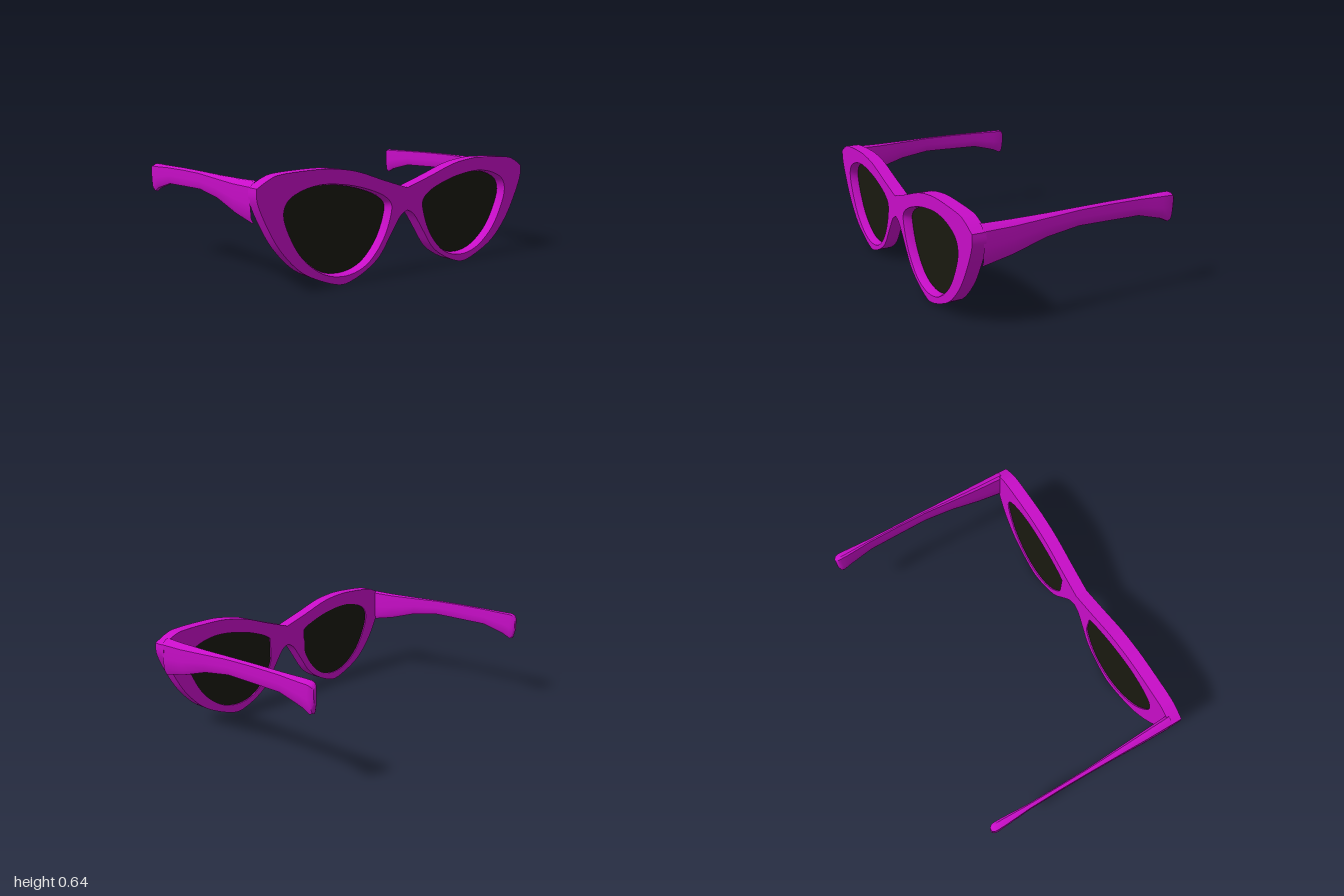
import * as THREE from 'three';
import { mergeGeometries, toCreasedNormals } from 'three/addons/utils/BufferGeometryUtils.js';

const FRONT = 0.64, BACK = 0.56;
const plastic = new THREE.MeshStandardMaterial({ color: 0xc80dc8 });
const glass = new THREE.MeshStandardMaterial({ color: 0x19190f });

const v2 = (pts) => pts.map(([x, y]) => new THREE.Vector2(x, y));

// Reverses the winding of a non-indexed, position-only geometry
function flip(geo) {
  const p = geo.attributes.position;
  for (let i = 0; i < p.count; i += 3) {
    const b = new THREE.Vector3().fromBufferAttribute(p, i + 1);
    const c = new THREE.Vector3().fromBufferAttribute(p, i + 2);
    p.setXYZ(i + 1, c.x, c.y, c.z);
    p.setXYZ(i + 2, b.x, b.y, b.z);
  }
  return geo;
}

// Keeps only positions so that pieces can be merged
function bare(geo) {
  const g = geo.index ? geo.toNonIndexed() : geo;
  g.deleteAttribute('normal');
  g.deleteAttribute('uv');
  return g;
}

// Skins a row of loops; optionally closes the last one with a fan
function loft(loops, closed = true, cap = false) {
  const out = [];
  const n = loops[0].length;
  const tri = (...vs) => vs.forEach((v) => out.push(v.x, v.y, v.z));
  for (let k = 0; k + 1 < loops.length; k++) {
    const A = loops[k], B = loops[k + 1];
    for (let i = 0; i < (closed ? n : n - 1); i++) {
      const j = (i + 1) % n;
      tri(A[i], A[j], B[j]);
      tri(A[i], B[j], B[i]);
    }
  }
  if (cap) {
    const L = loops[loops.length - 1];
    const c = L.reduce((s, v) => s.add(v), new THREE.Vector3()).divideScalar(n);
    for (let i = 0; i < n; i++) tri(c, L[i], L[(i + 1) % n]);
  }
  const g = new THREE.BufferGeometry();
  g.setAttribute('position', new THREE.Float32BufferAttribute(out, 3));
  return g;
}

const atZ = (pts, z) => pts.map((p) => new THREE.Vector3(p.x, p.y, z));

// Half outline of the front: upper brow, then the wing tip round to the bridge
const brow = new THREE.SplineCurve(v2([
  [0, 0.495], [0.18, 0.55], [0.36, 0.608], [0.5, 0.632], [0.62, 0.638],
  [0.845, 0.628], [0.925, 0.607], [1, 0.565]])).getPoints(40);
const rim = new THREE.SplineCurve(v2([
  [1, 0.565], [0.998, 0.495], [0.95, 0.38], [0.87, 0.243], [0.754, 0.12], [0.63, 0.05],
  [0.487, 0.003], [0.39, 0.018], [0.283, 0.067], [0.2, 0.13], [0.123, 0.238],
  [0.053, 0.335], [0, 0.365]])).getPoints(60);
const outline = [...brow, ...rim.slice(1)];

// Lens opening, counter-clockwise
const opening = new THREE.CatmullRomCurve3(v2([
  [0.834, 0.415], [0.81, 0.48], [0.738, 0.522], [0.615, 0.548], [0.47, 0.54], [0.31, 0.505],
  [0.176, 0.45], [0.134, 0.405], [0.142, 0.335], [0.2, 0.205], [0.31, 0.094], [0.44, 0.056],
  [0.577, 0.078], [0.71, 0.17], [0.79, 0.286]]).map((p) => new THREE.Vector3(p.x, p.y, 0)), true)
  .getPoints(72).slice(0, -1);

function frameHalf() {
  // Opening flares a little at the front and is cut straight by the nose at the back
  const wide = opening.map((p) => new THREE.Vector2(0.485 + (p.x - 0.485) * 1.035, 0.31 + (p.y - 0.31) * 1.035));
  const cut = opening.map((p) => new THREE.Vector2(Math.max(p.x, 0.16), p.y));
  const face = (hole, z) => {
    const s = new THREE.Shape(outline);
    s.holes.push(new THREE.Path(hole));
    return bare(new THREE.ShapeGeometry(s).translate(0, 0, z));
  };
  return mergeGeometries([
    face(wide, FRONT),
    flip(face(cut, BACK)),
    loft([atZ(outline, FRONT), atZ(outline, BACK)], false),
    loft([atZ(wide, FRONT), atZ(opening, 0.605), atZ(opening, 0.58), atZ(cut, 0.578), atZ(cut, BACK)]),
  ]);
}

function lens() {
  const shape = new THREE.Shape(opening.map((p) => new THREE.Vector2(p.x, p.y)));
  return bare(new THREE.ExtrudeGeometry(shape, { depth: 0.02, bevelEnabled: false }).translate(0, 0, 0.568));
}

// Side arm: z, inner x, outer x, top, bottom, drop of the outer top edge
const stations = [
  [0.575, 0.94, 1, 0.597, 0.375, 0.03], [0.4, 0.946, 0.998, 0.594, 0.41, 0.026],
  [0.2, 0.955, 0.993, 0.595, 0.468, 0.018], [0, 0.963, 0.989, 0.599, 0.496, 0.012],
  [-0.2, 0.963, 0.986, 0.6, 0.492, 0.012], [-0.4, 0.96, 0.987, 0.598, 0.488, 0.012],
  [-0.5, 0.953, 0.992, 0.597, 0.462, 0.014], [-0.56, 0.949, 0.995, 0.597, 0.446, 0.015],
  [-0.61, 0.948, 0.996, 0.596, 0.422, 0.015], [-0.63, 0.951, 0.993, 0.589, 0.428, 0.015],
  [-0.643, 0.962, 0.983, 0.57, 0.475, 0.01]];

function arm() {
  const loops = stations.map(([z, xi, xo, t, b, d]) => {
    const w = xo - xi, h = t - b;
    return atZ(v2([
      [xo, t - d], [xo, b + h * 0.45], [xo - w * 0.08, b + h * 0.16], [xo - w * 0.3, b + h * 0.02],
      [xi + w * 0.3, b], [xi + w * 0.08, b + h * 0.12], [xi, b + h * 0.45],
      [xi, t - d * 0.5], [xi + w * 0.25, t], [xi + w * 0.5, t - d * 0.1]]), z);
  });
  return loft(loops, true, true);
}

export function createModel() {
  const model = new THREE.Group();
  model.name = 'sunglasses';
  const parts = [['Frame', frameHalf, plastic], ['Lens', lens, glass], ['Arm', arm, plastic]];
  for (const [side, s] of [['left', 1], ['right', -1]]) {
    for (const [name, build, material] of parts) {
      let geo = build();
      if (s < 0) geo = flip(geo.scale(-1, 1, 1));
      geo.computeVertexNormals();
      const mesh = new THREE.Mesh(toCreasedNormals(geo, 0.7), material);
      mesh.name = side + name;
      model.add(mesh);
    }
  }
  return model;
}
